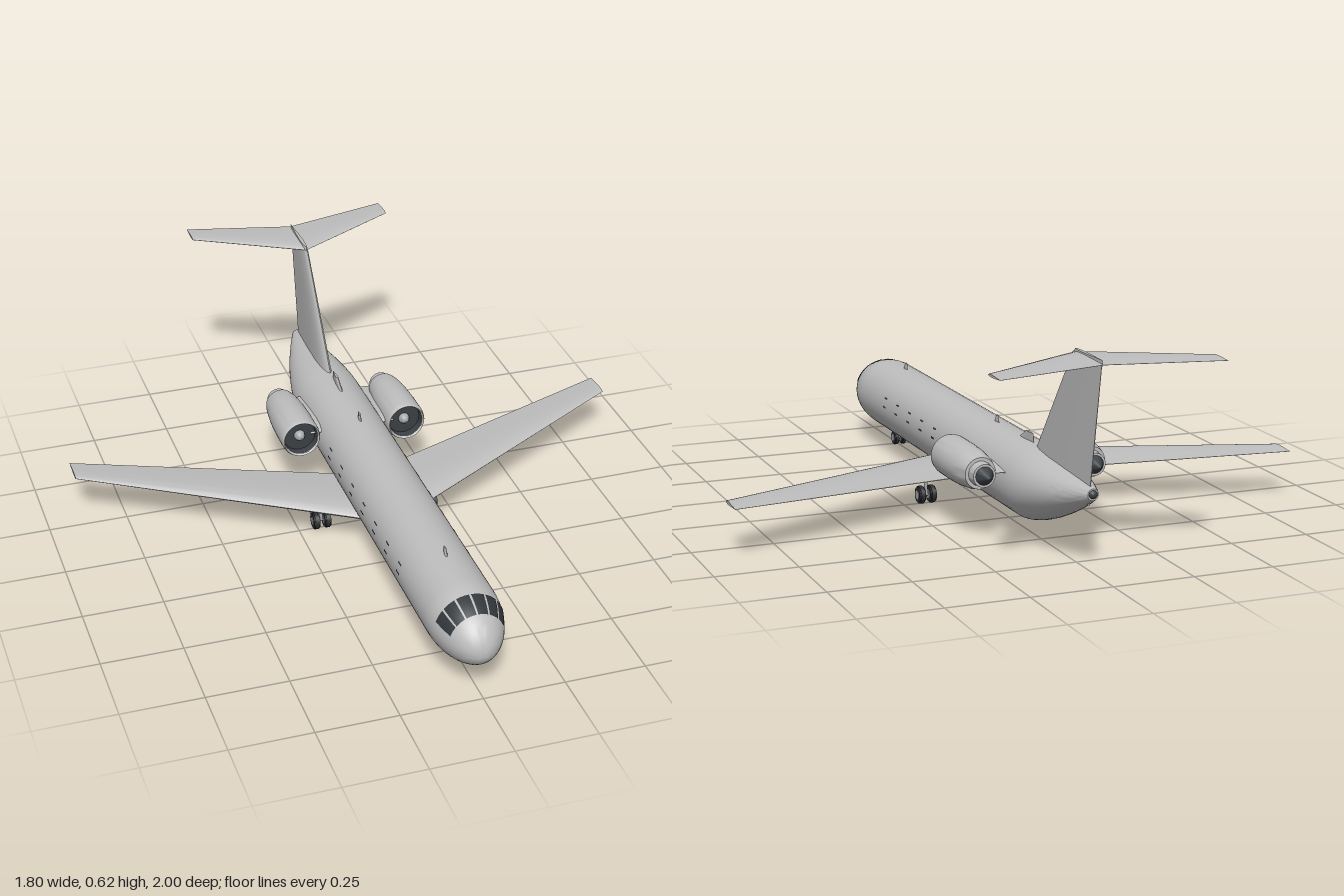
import * as THREE from 'three';
import { toCreasedNormals } from 'three/addons/utils/BufferGeometryUtils.js';

const V = (x, y, z) => new THREE.Vector3(x, y, z);

// Skin a series of closed rings, cap both ends, and face the surface outwards.
function loft(rings, crease = 0.6) {
  const n = rings[0].length, pts = rings.flat(), idx = [];
  for (let i = 0; i < rings.length - 1; i++) {
    for (let j = 0; j < n; j++) {
      const a = i * n + j, b = i * n + (j + 1) % n;
      idx.push(a, b, a + n, b, b + n, a + n);
    }
  }
  const last = (rings.length - 1) * n;
  for (let j = 1; j < n - 1; j++) idx.push(0, j + 1, j, last, last + j, last + j + 1);
  let volume = 0;
  for (let i = 0; i < idx.length; i += 3) {
    volume += pts[idx[i]].dot(pts[idx[i + 1]].clone().cross(pts[idx[i + 2]]));
  }
  if (volume < 0) idx.reverse();
  const g = new THREE.BufferGeometry().setFromPoints(pts);
  g.setIndex(idx);
  return toCreasedNormals(g, crease);
}

// Airfoil outline: fraction of chord, half thickness.
const FOIL = [[0, 0], [0.03, 0.45], [0.12, 0.85], [0.3, 1], [0.6, 0.7], [1, 0.06],
  [1, -0.06], [0.6, -0.7], [0.3, -1], [0.12, -0.85], [0.03, -0.45]];
const wingRing = (x, y, lead, trail, half) =>
  FOIL.map(([u, t]) => V(x, y + t * half, lead + (trail - lead) * u));
const finRing = (y0, y1, lead, trail, half) =>
  FOIL.map(([u, t]) => V(t * half, y0 + (y1 - y0) * u, lead + (trail - lead) * u));

// Fuselage surface at station z and angle a, pushed outwards by off.
function hull(z, a, off = 0) {
  let top = 0.28, bottom = 0.055, half = 0.112;
  if (z > 0.8) {
    const k = Math.sqrt(Math.max(0, 1 - ((z - 0.8) / 0.2) ** 2));
    top = 0.147 + 0.133 * k;
    bottom = 0.147 - 0.092 * k;
    half *= k;
  } else if (z < -0.48) {
    const u = (-0.48 - z) / 0.38;
    top -= 0.035 * u ** 1.3;
    bottom += 0.155 * u ** 1.3;
    half *= 1 - 0.85 * u ** 1.7;
  }
  return V((half + off) * Math.cos(a),
    (top + bottom) / 2 + ((top - bottom) / 2 + off) * Math.sin(a), z);
}

// Curved plate lying on the fuselage.
function hullPatch(z0, z1, a0, a1, off, steps = 4) {
  const pts = [], idx = [];
  for (let i = 0; i <= steps; i++) {
    for (let j = 0; j <= steps; j++) {
      pts.push(hull(z0 + (z1 - z0) * i / steps, a0 + (a1 - a0) * j / steps, off));
    }
  }
  for (let i = 0; i < steps; i++) {
    for (let j = 0; j < steps; j++) {
      const a = i * (steps + 1) + j, b = a + steps + 1;
      idx.push(a, b, a + 1, b, b + 1, a + 1);
    }
  }
  const g = new THREE.BufferGeometry().setFromPoints(pts);
  g.setIndex(idx);
  g.computeVertexNormals();
  return g;
}

// Turned part along z from [radius, z] points listed back to front.
function turned(profile) {
  const g = new THREE.LatheGeometry(profile.map(([r, z]) => new THREE.Vector2(r, z)), 36);
  return toCreasedNormals(g.rotateX(Math.PI / 2), 0.6);
}

export function createModel() {
  const mat = (name, color) => {
    const m = new THREE.MeshStandardMaterial({ color });
    m.name = name;
    return m;
  };
  const skin = mat('grey skin', 0xbebebe);
  const dark = mat('dark grey', 0x3c4044);
  const glass = mat('dark glass', 0x32373b);
  glass.side = THREE.DoubleSide;
  const rubber = mat('tyre rubber', 0x2e3032);
  const metal = mat('pale metal', 0xa6a8aa);

  const model = new THREE.Group();
  model.name = 'jetAirliner';
  const add = (name, geo, material, x = 0, y = 0, z = 0, parent = model) => {
    const m = new THREE.Mesh(geo, material);
    m.name = name;
    m.position.set(x, y, z);
    parent.add(m);
    return m;
  };
  const box = (w, h, d) => new THREE.BoxGeometry(w, h, d);

  // Fuselage with rounded nose and upswept tail
  const stations = [];
  for (let i = 0; i <= 14; i++) stations.push(0.8 + 0.2 * Math.cos(i / 14 * Math.PI / 2 + (i ? 0 : 0.01)));
  stations.push(0.4, 0, -0.3);
  for (let i = 0; i <= 14; i++) stations.push(-0.48 - 0.38 * i / 14);
  const rings = stations.map(z =>
    Array.from({ length: 40 }, (_, j) => hull(z, j / 40 * Math.PI * 2)));
  add('fuselage', loft(rings, 0.9), skin);
  add('tailCone', new THREE.SphereGeometry(0.014, 16, 10), dark, 0, 0.228, -0.855);

  // Cockpit windows: six panes around the nose
  const from = 0.30, pane = (Math.PI - 2 * from) / 6;
  for (let i = 0; i < 6; i++) {
    const a = from + i * pane;
    add('cockpitWindow', hullPatch(0.87, 0.935, a + 0.03, a + pane - 0.03, 0.002, 6), glass);
  }

  // Cabin windows: upper and lower dark edges on both sides
  for (let i = 0; i < 7; i++) {
    const z = 0.567 - i * 0.114;
    for (const y of [0.206, 0.177]) {
      const a = Math.asin((y - 0.1675) / 0.1125);
      for (const mid of [a, Math.PI - a]) {
        add('cabinWindowEdge', hullPatch(z - 0.013, z + 0.013, mid - 0.024, mid + 0.024, 0.0015, 2), glass);
      }
    }
  }

  // Vertical fin and its cap
  add('fin', loft([
    finRing(0.25, 0.22, -0.44, -0.835, 0.018),
    finRing(0.28, 0.25, -0.468, -0.842, 0.017),
    finRing(0.612, 0.612, -0.715, -0.908, 0.009)]), skin);
  add('finCap', loft([
    finRing(0.604, 0.604, -0.715, -0.91, 0.009),
    finRing(0.622, 0.622, -0.728, -0.91, 0.006)]), skin);

  // Blades along the spine and belly
  const blade = (name, y0, y1, z0, z1, z2, z3, half) =>
    add(name, loft([finRing(y0, y0, z0, z1, half), finRing(y1, y1, z2, z3, half * 0.7)]), skin);
  blade('spineIntake', 0.27, 0.306, -0.32, -0.44, -0.385, -0.435, 0.006);
  blade('frontAntenna', 0.272, 0.301, 0.685, 0.645, 0.665, 0.65, 0.004);
  blade('rearAntenna', 0.272, 0.301, -0.13, -0.17, -0.148, -0.165, 0.004);
  blade('bellyAntenna', 0.065, 0.032, 0.265, 0.225, 0.245, 0.228, 0.004);
  blade('tailSkid', 0.215, 0.19, -0.79, -0.84, -0.815, -0.835, 0.004);

  // A pair of wheels on an axle and a strut, standing at y = 0
  const wheelPair = (name, x, z, r, gap, width, top) => {
    const gear = new THREE.Group();
    gear.name = name;
    gear.position.set(x, r, z);
    model.add(gear);
    for (const s of [-1, 1]) {
      const tyre = new THREE.CylinderGeometry(r, r, width * 0.6, 24).rotateZ(Math.PI / 2);
      const wall = new THREE.CylinderGeometry(r * 0.87, r * 0.87, width, 24).rotateZ(Math.PI / 2);
      const hub = new THREE.CylinderGeometry(r * 0.5, r * 0.5, width + 0.003, 16).rotateZ(Math.PI / 2);
      add('tyre', tyre, rubber, s * gap, 0, 0, gear);
      add('tyreWall', wall, rubber, s * gap, 0, 0, gear);
      add('hub', hub, metal, s * gap, 0, 0, gear);
    }
    add('axle', new THREE.CylinderGeometry(0.005, 0.005, gap * 2, 10).rotateZ(Math.PI / 2), metal, 0, 0, 0, gear);
    add('strut', new THREE.CylinderGeometry(0.006, 0.006, top - r, 12), metal, 0, (top - r) / 2, 0, gear);
  };
  wheelPair('noseGear', 0, 0.74, 0.024, 0.013, 0.015, 0.08);

  for (const s of [-1, 1]) {
    const side = s > 0 ? 'left' : 'right';

    // Swept wing with slight dihedral
    add(side + 'Wing', loft([
      wingRing(0, 0.102, 0.2, -0.095, 0.02),
      wingRing(s * 0.11, 0.109, 0.142, -0.132, 0.018),
      wingRing(s * 0.9, 0.153, -0.28, -0.38, 0.005)]), skin);

    // High tailplane
    add(side + 'Tailplane', loft([
      wingRing(0, 0.61, -0.727, -0.918, 0.008),
      wingRing(s * 0.34, 0.612, -0.915, -1, 0.004)]), skin);

    // Rear engine
    const engine = new THREE.Group();
    engine.name = side + 'Engine';
    engine.position.set(s * 0.177, 0.207, 0);
    model.add(engine);
    add('nacelle', turned([[0.037, -0.455], [0.048, -0.455], [0.055, -0.425], [0.061, -0.37],
      [0.064, -0.3], [0.064, -0.222], [0.062, -0.208], [0.059, -0.202], [0.055, -0.207],
      [0.053, -0.235]]), skin, 0, 0, 0, engine);
    add('fanFace', turned([[0.0535, -0.235], [0, -0.2345]]), dark, 0, 0, 0, engine);
    add('intakeLining', turned([[0.0545, -0.209], [0.0525, -0.235]]), dark, 0, 0, 0, engine);
    add('spinner', turned([[0.018, -0.236], [0.016, -0.225], [0.009, -0.215], [0, -0.211]]), metal, 0, 0, 0, engine);
    add('nozzle', turned([[0, -0.487], [0.035, -0.487], [0.038, -0.45]]), skin, 0, 0, 0, engine);
    add('exhaustCone', turned([[0, -0.533], [0.028, -0.487]]), dark, 0, 0, 0, engine);
    add(side + 'Pylon', loft([
      wingRing(s * 0.07, 0.207, -0.23, -0.475, 0.013),
      wingRing(s * 0.14, 0.207, -0.23, -0.47, 0.013)]), skin);

    // Main gear with its door
    wheelPair(side + 'MainGear', s * 0.178, 0, 0.028, 0.018, 0.02, 0.112);
    add(side + 'GearDoor', box(0.004, 0.034, 0.04), skin, s * 0.216, 0.087, 0);
  }
  return model;
}
